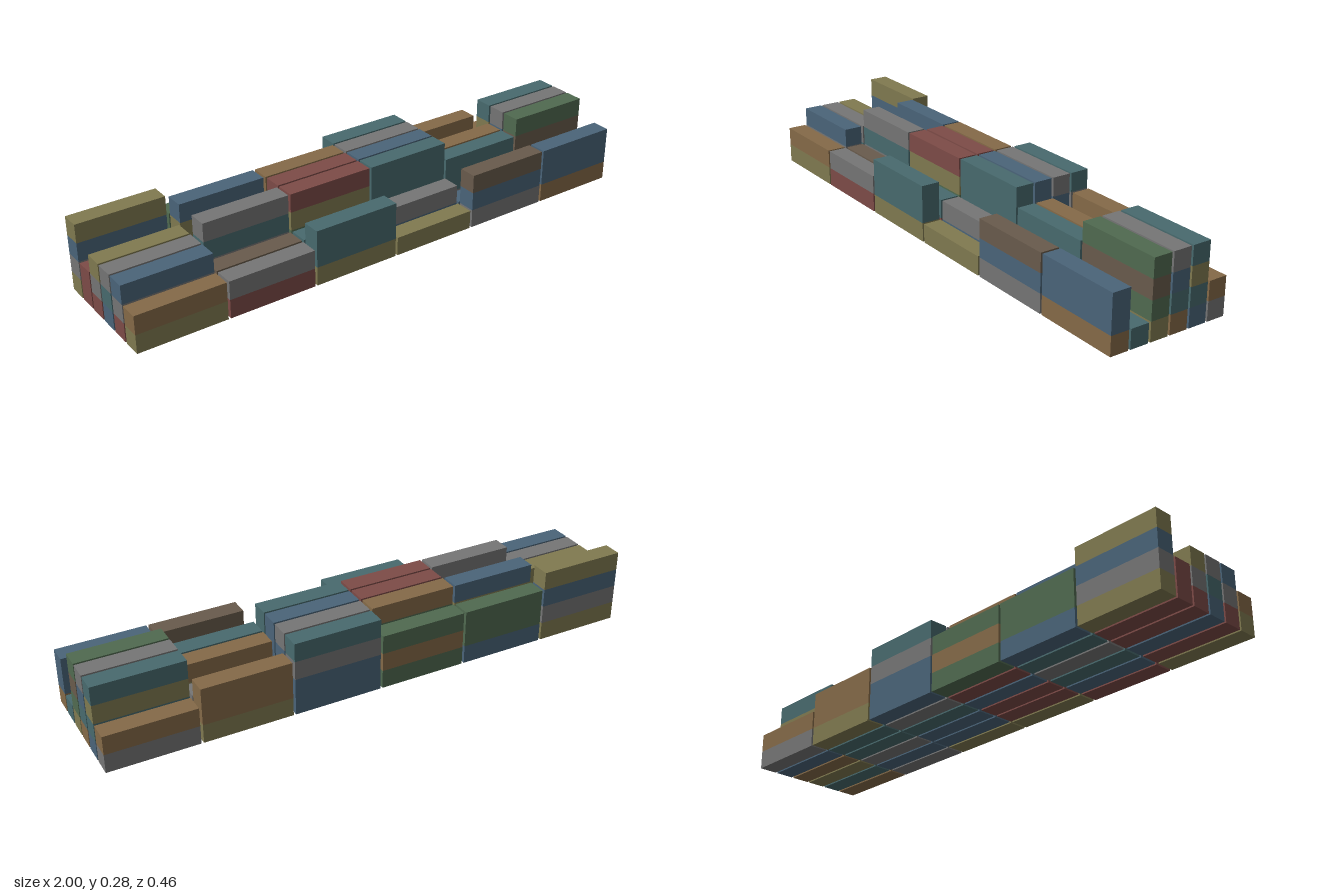
import * as THREE from 'three';

// Paint colours, one letter each
const PAINT = {
  T: 0x486a6e, B: 0x4a6479, R: 0x7d4b47, O: 0x856a48,
  Y: 0x807a50, G: 0x506a50, S: 0x757575, D: 0x695b4c,
};

// Stacks of containers: rows run front to back, bays run from -x to +x,
// and each word lists one stack's paint from the bottom tier to the top
const ROWS = [
  'YO RS YTT Y SBD OBB',
  'RSB BD RT BS B T',
  'BTS TSTS RGYR BTTT STT YGDG',
  'RSY SY BTOR TSBB TYO OTBS',
  'RR TSYB RBGO STBS TS BTYT',
  'YSBY BGG GOG BBST YOO SO',
];

const LENGTH = 0.326, WIDTH = 0.0692, HEIGHT = 0.0693;
const BAY_PITCH = (2 - LENGTH) / 5;
const ROW_PITCH = (0.456 - WIDTH) / 5;

export function createModel() {
  const model = new THREE.Group();
  model.name = 'containerStacks';

  const box = new THREE.BoxGeometry(LENGTH, HEIGHT, WIDTH);
  const materials = {};
  for (const key in PAINT) {
    materials[key] = new THREE.MeshStandardMaterial({ color: PAINT[key] });
  }

  ROWS.forEach((line, row) => {
    const rowGroup = new THREE.Group();
    rowGroup.name = `containerRow${row + 1}`;
    rowGroup.position.z = (2.5 - row) * ROW_PITCH;

    line.split(' ').forEach((tiers, bay) => {
      const stack = new THREE.Group();
      stack.name = `stackBay${bay + 1}`;
      stack.position.x = (bay - 2.5) * BAY_PITCH;

      // One container per tier, resting directly on the one below
      [...tiers].forEach((paint, tier) => {
        const container = new THREE.Mesh(box, materials[paint]);
        container.name = `containerTier${tier + 1}`;
        container.position.y = (tier + 0.5) * HEIGHT;
        stack.add(container);
      });
      rowGroup.add(stack);
    });
    model.add(rowGroup);
  });
  return model;
}
